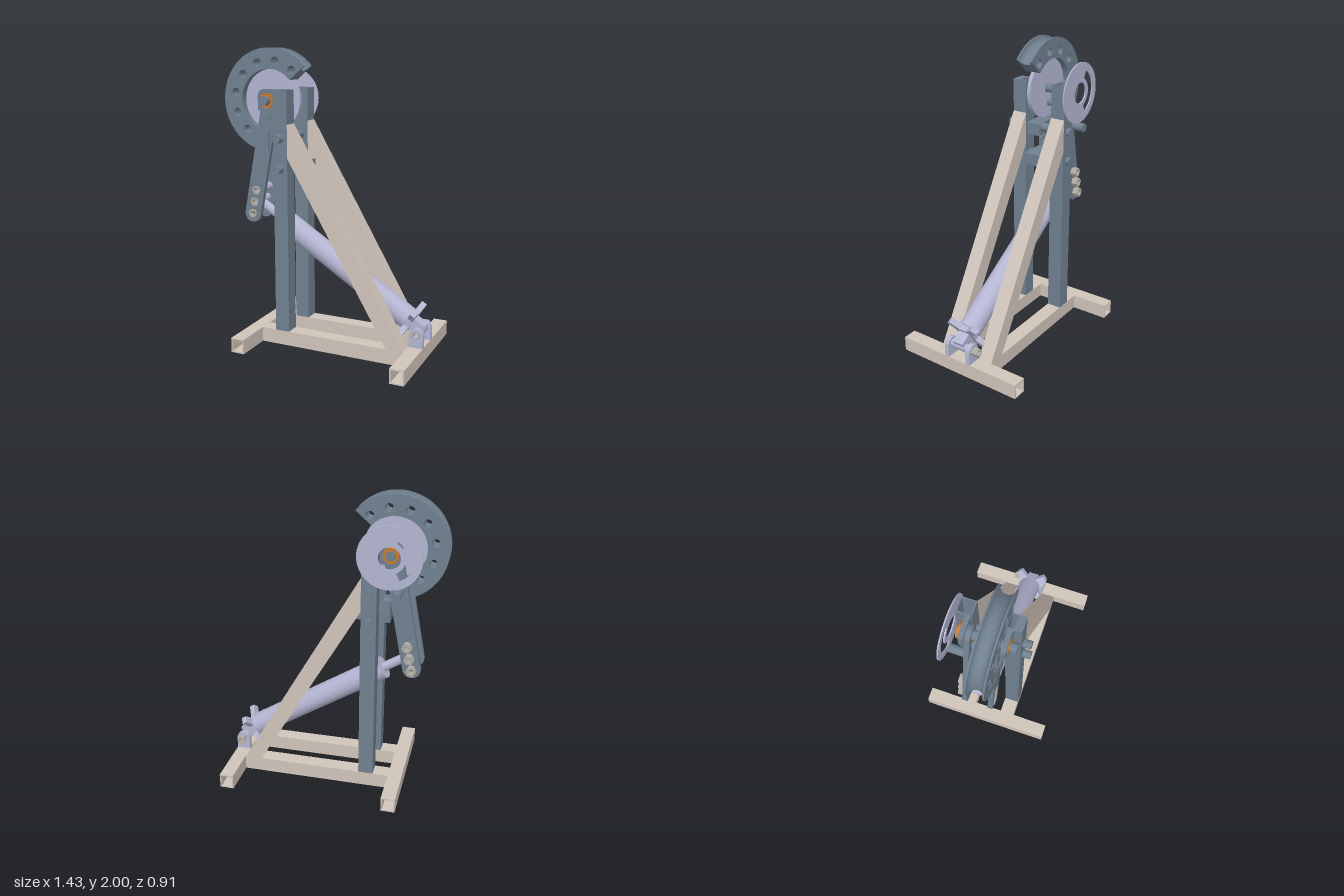
import * as THREE from 'three';
import { toCreasedNormals } from 'three/addons/utils/BufferGeometryUtils.js';

const mat = (name, color) => Object.assign(new THREE.MeshStandardMaterial({ color, side: THREE.DoubleSide }), { name });

export function createModel() {
  const model = new THREE.Group();
  model.name = 'tubeBender';
  const beige = mat('beigeSteel', 0xd0c4ba);
  const slate = mat('slateSteel', 0x708090);
  const lavender = mat('lavenderSteel', 0xb3b5d2);
  const orange = mat('bronze', 0xc87a2c);
  const boltGrey = mat('boltGrey', 0xb0aca2);

  const add = (name, geo, material, parent = model) => {
    const m = new THREE.Mesh(geo, material);
    m.name = name;
    parent.add(m);
    return m;
  };
  const rad = THREE.MathUtils.degToRad;
  const circle = (x, y, r) => new THREE.Path().absarc(x, y, r, 0, Math.PI * 2, true);
  const disc = (x, y, r) => new THREE.Shape().absarc(x, y, r, 0, Math.PI * 2, false);
  const poly = pts => new THREE.Shape(pts.map(p => new THREE.Vector2(...p)));
  const rect = (x0, y0, x1, y1) => poly([[x0, y0], [x1, y0], [x1, y1], [x0, y1]]);
  // Flat plate in the xy plane between two depths
  const slab = (name, shape, z0, z1, material, parent) => {
    const g = new THREE.ExtrudeGeometry(shape, { depth: z1 - z0, bevelEnabled: false, curveSegments: 32 });
    return add(name, toCreasedNormals(g.translate(0, 0, z0), 0.6), material, parent);
  };
  const pin = (name, x, y, r, z0, z1, material, sides = 28) =>
    add(name, new THREE.CylinderGeometry(r, r, z1 - z0, sides).rotateX(Math.PI / 2)
      .translate(x, y, (z0 + z1) / 2), material);
  const ring = (name, x, y, r, hole, z0, z1, material) => {
    const s = disc(x, y, r);
    s.holes.push(circle(x, y, hole));
    slab(name, s, z0, z1, material);
  };
  const hexNut = (name, x, y, r, hole, z0, z1) => {
    const s = poly([0, 1, 2, 3, 4, 5].map(i => [x + r * Math.cos(i * Math.PI / 3), y + r * Math.sin(i * Math.PI / 3)]));
    if (hole) s.holes.push(circle(x, y, hole));
    slab(name, s, z0, z1, boltGrey);
  };
  // Hollow square tube section
  const tubeSection = (x0, y0, x1, y1, w = 0.009) => {
    const s = rect(x0, y0, x1, y1);
    s.holes.push(new THREE.Path(rect(x0 + w, y0 + w, x1 - w, y1 - w).getPoints().reverse()));
    return s;
  };

  // Base frame
  slab('leftCrossTube', tubeSection(0.615, 0, 0.71, 0.1), -0.457, 0.457, beige);
  slab('rightCrossTube', tubeSection(-0.505, 0, -0.41, 0.1), -0.457, 0.457, beige);
  for (const s of [1, -1]) {
    const z0 = s > 0 ? 0.1 : -0.2, z1 = z0 + 0.1;
    slab('baseRail', rect(-0.41, 0, 0.615, 0.1), z0, z1, beige);
    slab('brace', poly([[0.495, 0.1], [0.61, 0.1], [-0.205, 1.51], [-0.205, 1.29]]), z0, z1, beige);
    // Upright, hollow at the top
    const up = new THREE.ExtrudeGeometry(tubeSection(-0.305, -z1, -0.205, -z0), { depth: 1.63, bevelEnabled: false });
    add('upright', up.rotateX(-Math.PI / 2).translate(0, 0.1, 0), slate);
  }

  // Pivot, bearing holders and bushings
  const PX = -0.378, PY = 1.656;
  const holder = new THREE.Shape();
  holder.moveTo(-0.305, 1.59).lineTo(-0.305, 1.73).lineTo(-0.39, 1.73)
    .quadraticCurveTo(-0.445, 1.73, -0.445, 1.675).lineTo(-0.445, 1.59);
  holder.holes.push(circle(PX, PY, 0.045));
  slab('frontBearingHolder', holder, 0.118, 0.15, slate);
  slab('backBearingHolder', holder, -0.137, -0.106, slate);
  slab('frontHolderTab', rect(-0.305, 1.59, -0.205, 1.73), 0.15, 0.201, slate);
  ring('frontBushing', PX, PY, 0.05, 0.03, 0.118, 0.156, orange);
  ring('backBushing', PX, PY, 0.05, 0.03, -0.16, -0.07, orange);
  pin('pivotShaft', PX, PY, 0.031, -0.175, 0.2, slate);

  // Grooved bending die: drilled web, grooved rim and end caps
  const die = new THREE.Group();
  die.name = 'bendingDie';
  die.position.set(PX, PY, 0);
  model.add(die);
  const A0 = rad(41), A1 = rad(268), T = 0.118, RI = 0.203, RM = 0.29, RO = 0.34;
  const web = new THREE.Shape().absarc(0, 0, RM, A0, A1, false).absarc(0, 0, RI, A1, A0, true);
  for (let i = 0; i < 8; i++) {
    const a = rad(50 + i * 29.9);
    web.holes.push(circle(0.257 * Math.cos(a), 0.257 * Math.sin(a), 0.028));
  }
  slab('dieWeb', web, 0, T, slate, die);
  const profile = [new THREE.Vector2(RM, 0), new THREE.Vector2(RO, 0)];
  for (let i = 0; i <= 16; i++) {
    const a = -Math.PI / 2 - i * Math.PI / 16;
    profile.push(new THREE.Vector2(RO + 0.048 * Math.cos(a), T / 2 + 0.048 * Math.sin(a)));
  }
  profile.push(new THREE.Vector2(RO, T), new THREE.Vector2(RM, T));
  const rim = new THREE.LatheGeometry(profile, 72, A0 + Math.PI / 2, A1 - A0).rotateX(Math.PI / 2);
  add('dieRim', toCreasedNormals(rim, 0.6), slate, die);
  for (const a of [A0, A1]) {
    const m = new THREE.Matrix4().makeBasis(
      new THREE.Vector3(Math.cos(a), Math.sin(a), 0), new THREE.Vector3(0, 0, 1),
      new THREE.Vector3(Math.sin(a), -Math.cos(a), 0));
    add('dieEnd', new THREE.ShapeGeometry(new THREE.Shape(profile)).applyMatrix4(m), slate, die);
  }
  ring('dieDisc', PX, PY, 0.204, 0.03, 0.045, 0.07, lavender);

  // Slotted dial behind the frame
  const dial = disc(PX, PY, 0.203);
  dial.holes.push(circle(PX, PY, 0.07));
  dial.holes.push(new THREE.Path().absarc(PX, PY, 0.155, rad(115), rad(245), false)
    .absarc(PX, PY, 0.1, rad(245), rad(115), true));
  slab('dial', dial, -0.213, -0.204, lavender);

  // Swinging arms, hung from the pivot
  const holes = [[-0.495, 1.042], [-0.511, 0.96], [-0.527, 0.878]];
  const tilt = Math.atan2(PY - 0.878, PX + 0.527);
  const arm = new THREE.Shape()
    .absarc(PX, PY, 0.06, tilt - Math.PI / 2, tilt + Math.PI / 2, false)
    .absarc(-0.527, 0.878, 0.06, tilt + Math.PI / 2, tilt + Math.PI * 1.5, false);
  for (const [x, y] of holes) arm.holes.push(circle(x, y, 0.026));
  slab('frontArm', arm, 0.072, 0.104, slate);
  slab('backArm', arm, -0.104, -0.07, slate);
  pin('armPin', -0.4, 1.55, 0.024, -0.11, 0.112, slate);
  pin('drivePin', -0.426, 1.407, 0.029, -0.225, 0.121, slate);
  holes.forEach(([x, y], i) => {
    if (i < 2) ring('armSpacer', x, y, 0.03, 0.017, -0.07, 0.072, lavender);
    ring('frontArmBushing', x, y, 0.03, 0.017, 0.07, 0.109, boltGrey);
    hexNut('backArmNut', x, y, 0.034, 0.017, -0.145, -0.1);
  });

  // Cross pins through the uprights, with the link and the tube rest
  for (const y of [1.418, 1.217]) pin('framePin', -0.257, y, 0.027, -0.225, 0.255, slate);
  slab('link', poly([[-0.38, 1.385], [-0.22, 1.36], [-0.22, 1.44], [-0.375, 1.45]]), 0, 0.1, slate);
  slab('restBlock', rect(-0.31, 1.18, -0.13, 1.26), -0.062, 0.062, slate);
  const rest = new THREE.Shape();
  rest.moveTo(-0.062, 1.175).lineTo(0.062, 1.175).lineTo(0.062, 1.32).lineTo(0.046, 1.32)
    .absarc(0, 1.32, 0.046, 0, Math.PI, true).lineTo(-0.062, 1.32);
  const restMesh = slab('tubeRest', rest, -0.03, 0.03, slate);
  restMesh.rotation.y = Math.PI / 2;
  restMesh.position.x = -0.34;

  // Hydraulic ram, built along its own x axis and tilted down to the left foot
  const ram = new THREE.Group();
  ram.name = 'ram';
  ram.position.set(-0.328, 0.825, 0);
  ram.rotation.z = -0.56;
  model.add(ram);
  const rod = (name, r, x0, x1) => add(name, new THREE.CylinderGeometry(r, r, x1 - x0, 36)
    .rotateZ(Math.PI / 2).translate((x0 + x1) / 2, 0, 0), lavender, ram);
  rod('ramBody', 0.077, 0, 1.07);
  rod('ramRod', 0.031, -0.21, 0.02);
  // Four-armed end plate
  const spider = new THREE.Shape();
  for (let i = 0; i < 4; i++) {
    const a = Math.PI / 4 + i * Math.PI / 2;
    for (const [r, d] of [[0.07, -0.4], [0.146, -0.16], [0.146, 0.16], [0.07, 0.4]]) {
      const x = r * Math.cos(a + d), y = r * Math.sin(a + d);
      i + d === -0.4 ? spider.moveTo(x, y) : spider.lineTo(x, y);
    }
  }
  const plate = slab('ramEndPlate', spider, 1.07, 1.108, lavender, ram);
  plate.rotation.y = Math.PI / 2;
  add('ramLug', new THREE.BoxGeometry(0.1, 0.08, 0.08).translate(1.14, 0, 0), lavender, ram);

  // Foot clevis and its bolt
  const ear = new THREE.Shape();
  ear.moveTo(0.615, 0.1).lineTo(0.71, 0.1).lineTo(0.71, 0.18)
    .absarc(0.6625, 0.18, 0.0475, 0, Math.PI, false);
  ear.holes.push(circle(0.6625, 0.185, 0.017));
  slab('frontClevisEar', ear, 0.068, 0.1, lavender);
  slab('backClevisEar', ear, -0.1, -0.068, lavender);
  ring('footPin', 0.6625, 0.185, 0.028, 0.017, -0.07, 0.07, lavender);
  ring('footWasher', 0.6625, 0.185, 0.026, 0.017, 0.1, 0.108, boltGrey);
  hexNut('footNut', 0.6625, 0.185, 0.028, 0.017, -0.145, -0.1);

  return model;
}
